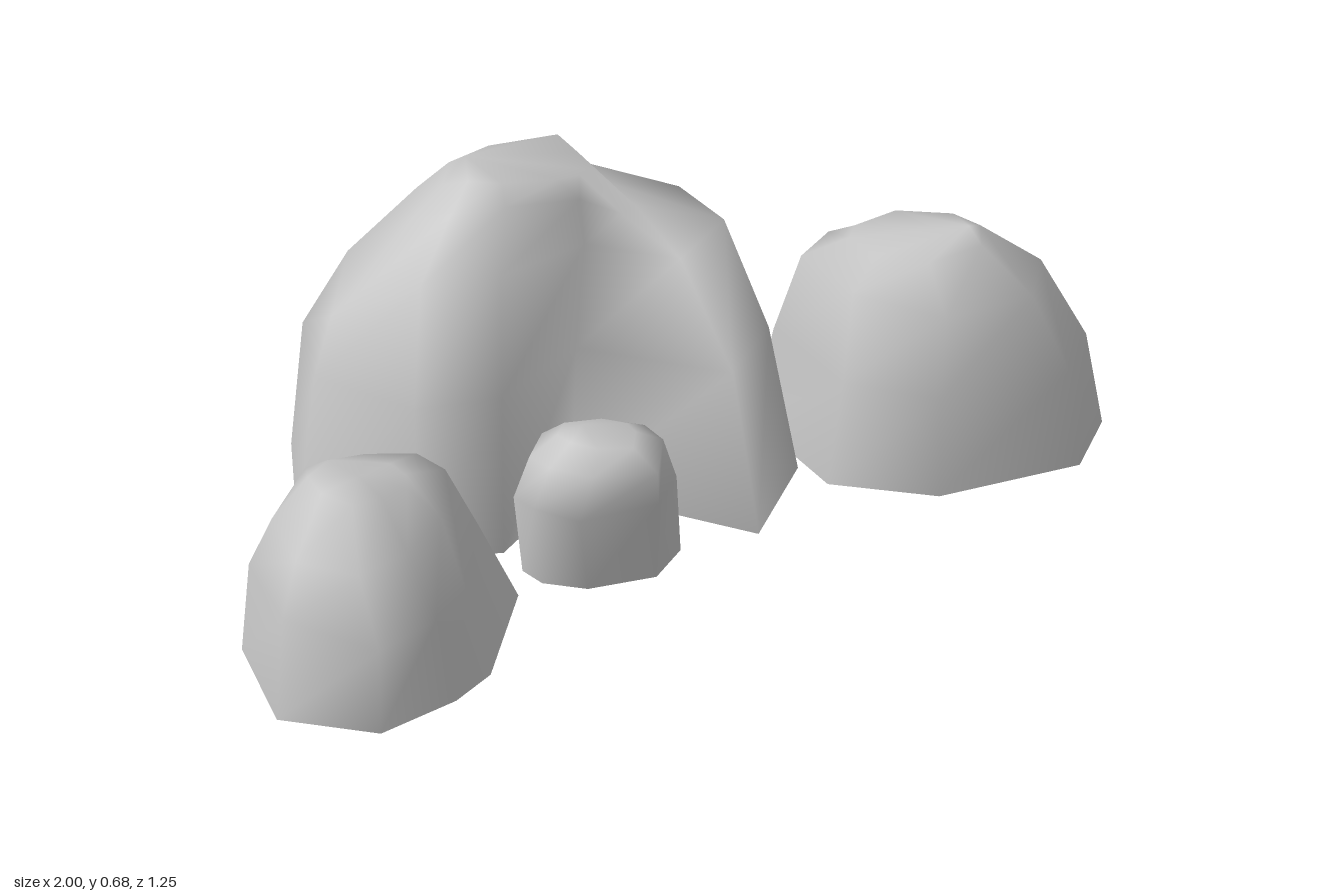
import * as THREE from 'three';

const stone = new THREE.MeshStandardMaterial({ color: 0xc4c4c4, side: THREE.DoubleSide });
stone.name = 'stone grey';

// Hollow boulder: rings of [x, y, z] from the ground up, clockwise from above, closed by a peak
function boulder(name, rings, peak) {
  const n = rings[0].length, index = [];
  for (let r = 0; r < rings.length; r++) {
    for (let i = 0; i < n; i++) {
      const a = r * n + i, b = r * n + (i + 1) % n;
      if (r === rings.length - 1) index.push(a, rings.length * n, b);
      else index.push(a, a + n, b, b, a + n, b + n);
    }
  }
  const g = new THREE.BufferGeometry();
  g.setAttribute('position', new THREE.Float32BufferAttribute([...rings.flat(2), ...peak], 3));
  g.setIndex(index);
  g.computeVertexNormals();
  const mesh = new THREE.Mesh(g, stone);
  mesh.name = name;
  return mesh;
}

export function createModel() {
  const group = new THREE.Group();
  group.name = 'boulders';

  // Large rock with a notch in its front and a step below the summit
  group.add(boulder('largeBoulder', [
    [[-.21, 0, -.63], [.17, 0, -.45], [.28, 0, -.2], [.3, 0, .11], [.09, 0, .315],
      [-.17, 0, -.02], [-.4, 0, .15], [-.56, 0, .09], [-.73, 0, -.14], [-.62, 0, -.48]],
    [[-.21, .29, -.59], [.15, .3, -.42], [.25, .33, -.2], [.25, .32, .06], [.1, .3, .18],
      [-.13, .3, -.07], [-.36, .3, .07], [-.53, .3, .03], [-.67, .32, -.15], [-.59, .3, -.44]],
    [[-.21, .52, -.48], [.09, .53, -.36], [.19, .54, -.23], [.19, .54, -.03], [.07, .49, .01],
      [-.08, .5, -.13], [-.3, .5, -.06], [-.45, .49, -.11], [-.61, .42, -.2], [-.51, .48, -.36]],
    [[-.2, .63, -.37], [0, .59, -.36], [.03, .575, -.24], [.04, .56, -.14], [0, .555, -.12],
      [-.08, .59, -.15], [-.25, .61, -.14], [-.35, .6, -.18], [-.41, .575, -.25], [-.36, .6, -.34]],
    [[-.2, .665, -.335], [-.04, .66, -.34], [-.035, .65, -.25], [-.04, .637, -.18], [-.07, .635, -.17],
      [-.12, .635, -.17], [-.24, .645, -.18], [-.3, .65, -.21], [-.34, .635, -.25], [-.3, .655, -.31]],
  ], [-.28, .68, -.27]));

  // Rounded rock beside it
  group.add(boulder('sideBoulder', [
    [[.32, 0, -.13], [.53, 0, -.23], [.8, 0, -.21], [.95, 0, .06],
      [1, 0, .23], [.84, 0, .37], [.5, 0, .35], [.32, 0, .2]],
    [[.36, .22, -.11], [.53, .25, -.2], [.78, .22, -.18], [.93, .2, .06],
      [.96, .21, .2], [.82, .21, .335], [.51, .21, .32], [.36, .22, .18]],
    [[.4, .4, -.07], [.53, .39, -.175], [.73, .38, -.14], [.85, .38, .03],
      [.87, .38, .14], [.76, .37, .27], [.54, .37, .28], [.4, .4, .14]],
    [[.48, .45, -.01], [.53, .445, -.07], [.62, .47, -.05], [.72, .47, .02],
      [.73, .475, .11], [.68, .47, .19], [.56, .45, .18], [.48, .45, .1]],
  ], [.68, .495, .14]));

  // Low rock at the front corner
  group.add(boulder('cornerBoulder', [
    [[-.82, 0, .1], [-.67, 0, .1], [-.48, 0, .17], [-.44, 0, .31], [-.6, 0, .54],
      [-.69, 0, .59], [-.85, 0, .625], [-1, 0, .5], [-.98, 0, .25]],
    [[-.81, .18, .13], [-.68, .18, .13], [-.54, .18, .19], [-.52, .18, .31], [-.63, .17, .51],
      [-.71, .16, .56], [-.84, .16, .61], [-.97, .19, .48], [-.96, .19, .27]],
    [[-.81, .31, .18], [-.69, .31, .18], [-.61, .32, .24], [-.59, .325, .33], [-.65, .3, .45],
      [-.74, .28, .51], [-.84, .27, .53], [-.93, .28, .45], [-.92, .29, .3]],
    [[-.79, .355, .25], [-.72, .34, .26], [-.68, .335, .28], [-.67, .335, .33], [-.69, .34, .39],
      [-.75, .35, .42], [-.81, .355, .43], [-.85, .365, .38], [-.85, .365, .31]],
  ], [-.77, .37, .36]));

  // Small pebble in front of the notch, leaning forward
  group.add(boulder('smallBoulder', [
    [[-.33, 0, .15], [-.16, 0, .11], [-.06, 0, .2], [-.08, 0, .3],
      [-.17, 0, .37], [-.31, 0, .35], [-.38, 0, .29], [-.395, 0, .23]],
    [[-.34, .16, .14], [-.17, .17, .14], [-.085, .18, .21], [-.09, .17, .3],
      [-.17, .17, .38], [-.33, .16, .36], [-.395, .17, .29], [-.41, .17, .23]],
    [[-.32, .26, .17], [-.19, .25, .18], [-.125, .26, .23], [-.12, .26, .3],
      [-.18, .245, .395], [-.3, .25, .36], [-.36, .25, .29], [-.375, .25, .23]],
    [[-.29, .295, .21], [-.21, .285, .21], [-.17, .28, .24], [-.17, .28, .28],
      [-.2, .275, .33], [-.27, .285, .32], [-.31, .29, .28], [-.32, .29, .24]],
  ], [-.27, .305, .25]));

  return group;
}
